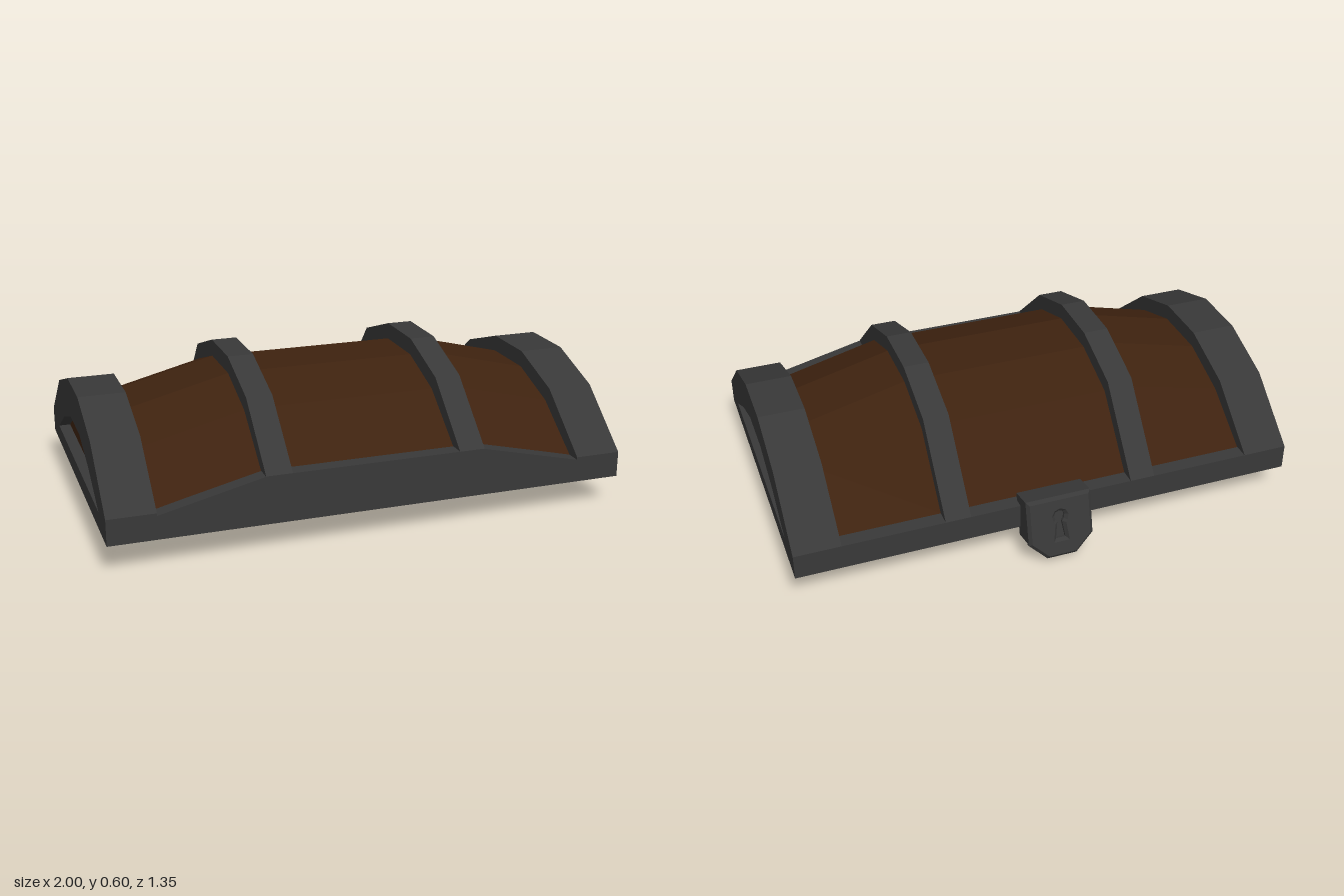
import * as THREE from 'three';

const mat = (color) => new THREE.MeshStandardMaterial({ color, flatShading: true, side: THREE.DoubleSide });
const iron = mat(0x383838);
const wood = mat(0x3e220f);

// Arched profiles as [z, y], running front to back
const endOuter = [[0.675, 0.215], [0.43, 0.415], [0.18, 0.5], [-0.06, 0.5], [-0.31, 0.415], [-0.56, 0.215]];
const midOuter = [[0.675, 0.3], [0.43, 0.515], [0.18, 0.6], [-0.06, 0.6], [-0.305, 0.515], [-0.56, 0.215]];
const panelArch = [[0.617, 0.205], [0.4, 0.36], [0.18, 0.435], [-0.06, 0.435], [-0.28, 0.36], [-0.5, 0.212]];
const vault = [[0.585, 0.167], [0.37, 0.288], [0.17, 0.353], [-0.053, 0.353], [-0.254, 0.288], [-0.47, 0.167]];
const lining = [[0.585, 0.115], ...vault, [-0.47, 0.115]];
const recess = [[0.535, 0.185], [0.35, 0.285], [0.17, 0.35], [-0.04, 0.35], [-0.23, 0.285], [-0.41, 0.185]];

const toVec = ([z, y]) => new THREE.Vector2(-z, y);

// Extrudes a [z, y] outline along x from x0 to x1
function alongX(outline, x0, x1, hole) {
  const shape = new THREE.Shape(outline.map(toVec));
  if (hole) shape.holes.push(new THREE.Path(hole.map(toVec)));
  const g = new THREE.ExtrudeGeometry(shape, { depth: x1 - x0, bevelEnabled: false });
  return g.rotateY(Math.PI / 2).translate(x0, 0, 0);
}

// Skins a surface through one profile per x station
function loft(stations) {
  const pos = [], idx = [];
  const n = stations[0].profile.length;
  for (const { x, profile } of stations) for (const [z, y] of profile) pos.push(x, y, z);
  for (let i = 0; i < stations.length - 1; i++) {
    for (let j = 0; j < n - 1; j++) {
      const a = i * n + j, b = a + n;
      idx.push(a, b, a + 1, b, b + 1, a + 1);
    }
  }
  const g = new THREE.BufferGeometry();
  g.setAttribute('position', new THREE.Float32BufferAttribute(pos, 3));
  g.setIndex(idx);
  g.computeVertexNormals();
  return g;
}

export function createModel() {
  const model = new THREE.Group();
  const add = (name, geometry, material, parent = model) => {
    const m = new THREE.Mesh(geometry, material);
    m.name = name;
    parent.add(m);
  };

  // Curved planks: raised in the middle, sloping down towards the ends
  const lifted = (h) => panelArch.map(([z, y], i) => [z, i === 5 ? y : y + (i === 0 ? 0.9 : 1) * h]);
  add('lidPanels', loft([
    { x: -0.84, profile: lifted(0) }, { x: -0.82, profile: lifted(0) }, { x: -0.42, profile: lifted(0.1) },
    { x: 0.42, profile: lifted(0.1) }, { x: 0.82, profile: lifted(0) }, { x: 0.84, profile: lifted(0) },
  ]), wood);

  // Inner vault with short upright walls behind the rim
  add('innerLining', loft([{ x: -0.92, profile: lining }, { x: 0.92, profile: lining }]), iron);

  // Front rim rises in the middle, back rim is straight
  const rim = new THREE.Shape([
    [-0.92, 0.115], [0.92, 0.115], [0.92, 0.21], [0.82, 0.205], [0.42, 0.3],
    [-0.42, 0.3], [-0.82, 0.205], [-0.92, 0.21],
  ].map(([x, y]) => new THREE.Vector2(x, y)));
  add('frontRim', new THREE.ExtrudeGeometry(rim, { depth: 0.06, bevelEnabled: false }).translate(0, 0, 0.615), iron);
  add('frontSill', new THREE.BoxGeometry(1.84, 0.05, 0.029).translate(0, 0.14, 0.6005), iron);
  add('backRim', new THREE.BoxGeometry(1.84, 0.1, 0.06).translate(0, 0.165, -0.53), iron);
  add('backSill', new THREE.BoxGeometry(1.84, 0.05, 0.029).translate(0, 0.14, -0.4855), iron);

  const endFrame = [[0.675, 0.115], ...endOuter, [-0.56, 0.115]];
  const endBand = [[0.675, 0.2], ...endOuter, [-0.5, 0.2], ...vault.slice(1, 5).reverse(), [0.615, 0.2]];
  const midBand = [...midOuter, [-0.49, 0.212], ...panelArch.slice(1, 5).reverse(), [0.61, 0.29]];
  for (const s of [-1, 1]) {
    const side = s > 0 ? 'left' : 'right';
    const span = (a, b) => (s > 0 ? [a, b] : [-b, -a]);
    // Arched end with a recessed wooden panel
    add(side + 'EndFrame', alongX(endFrame, ...span(0.92, 1), recess), iron);
    add(side + 'EndPanel', alongX(recess, ...span(0.935, 0.955)), wood);
    add(side + 'EndLining', alongX(lining, ...span(0.919, 0.93)), iron);
    // Iron straps over the planks
    add(side + 'EndBand', alongX(endBand, ...span(0.82, 0.92)), iron);
    add(side + 'MiddleBand', alongX(midBand, ...span(0.325, 0.425)), iron);
  }

  // Tilted lock with a chamfered, keyholed face, hanging from the back rim
  const lock = new THREE.Group();
  lock.name = 'lock';
  const plate = (inset) => new THREE.Shape([
    [-0.13 + inset, -inset], [-0.13 + inset, -0.175], [-0.06 + inset / 2, -0.25 + inset],
    [0.06 - inset / 2, -0.25 + inset], [0.13 - inset, -0.175], [0.13 - inset, -inset],
  ].map(([x, y]) => new THREE.Vector2(x, y)));
  const slab = (shape, depth, start, bevel) => new THREE.ExtrudeGeometry(shape, {
    depth, bevelEnabled: bevel > 0, bevelThickness: bevel, bevelSize: bevel, bevelSegments: 1,
  }).translate(0, 0, start).rotateY(Math.PI);
  add('lockBody', slab(plate(0), 0.086, 0, 0), iron, lock);
  const face = plate(0.012);
  const keyhole = new THREE.Path();
  keyhole.moveTo(-0.032, -0.185);
  keyhole.lineTo(0.032, -0.185);
  keyhole.lineTo(0.022, -0.11);
  for (let i = 0; i <= 6; i++) {
    const a = -0.6 + (i / 6) * (Math.PI + 1.2);
    keyhole.lineTo(0.034 * Math.cos(a), -0.082 + 0.034 * Math.sin(a));
  }
  keyhole.lineTo(-0.022, -0.11);
  keyhole.closePath();
  face.holes.push(keyhole);
  add('lockFace', slab(face, 0.012, 0.086, 0.012), iron, lock);
  lock.position.set(0, 0.244, -0.515);
  lock.rotation.x = 0.235;
  model.add(lock);

  return model;
}
